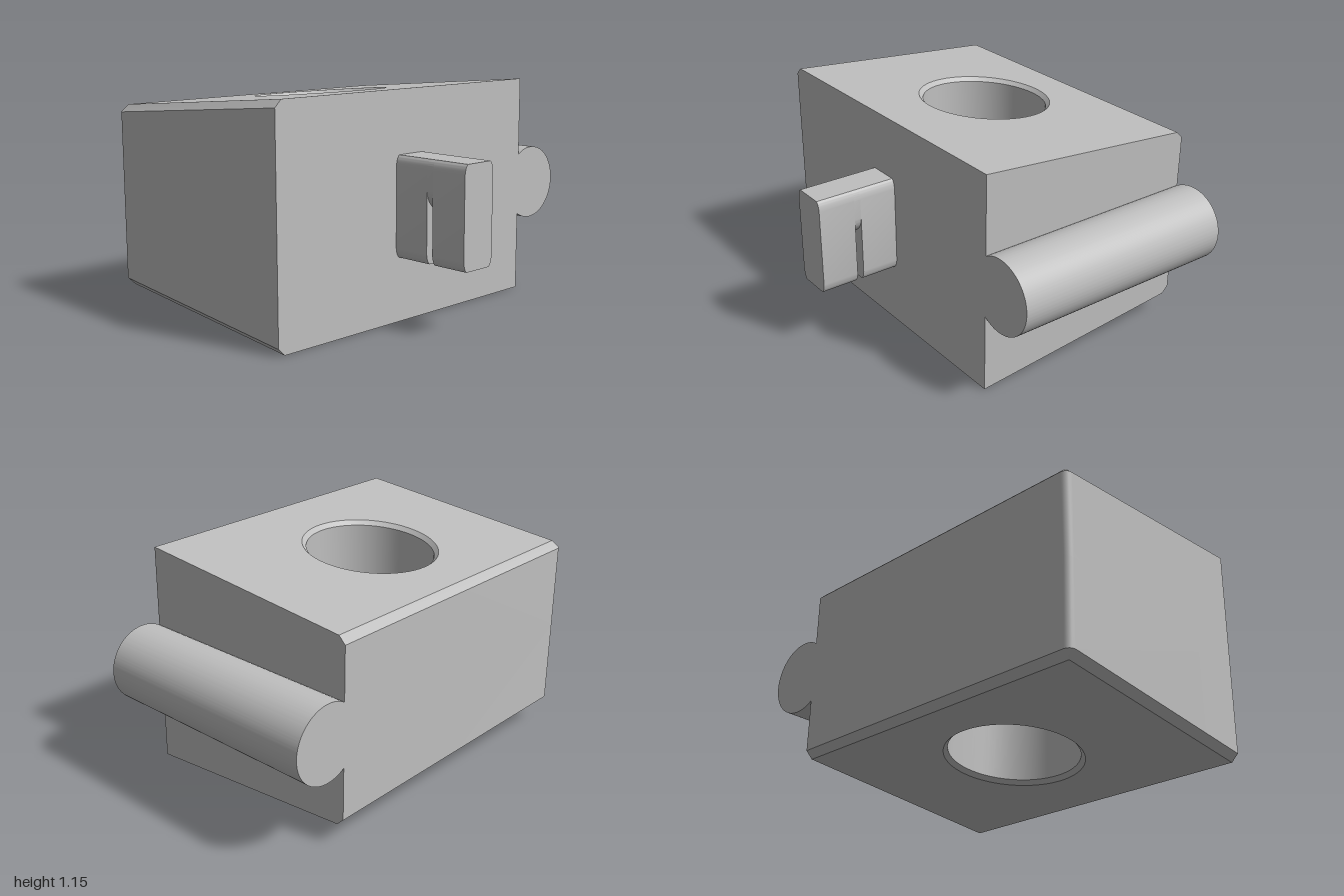
import * as THREE from 'three';
import { toCreasedNormals } from 'three/addons/utils/BufferGeometryUtils.js';

const H = 1.146; // block height at the front; the block mirrors about H / 2
const grey = new THREE.MeshStandardMaterial({ color: 0xbfbfbf });
grey.name = 'plain grey';

const slopeY = (z) => H - 0.088 * (0.4 - z);
const point = (x, z, drop = 0) => new THREE.Vector3(x, slopeY(z) - drop, z);
const atMiddle = (ring) => ring.map((p) => new THREE.Vector3(p.x, H / 2, p.z));

// Tapered block with a chamfered bore, built as an upper half and mirrored down
function blockGeometry() {
  const pos = [];
  const tri = (a, b, c) => {
    const area = b.clone().sub(a).cross(c.clone().sub(a)).length();
    if (area < 1e-9) return;
    for (const p of [a, b, c]) pos.push(p.x, p.y, p.z);
    for (const p of [a, c, b]) pos.push(p.x, H - p.y, p.z);
  };
  const band = (top, low) => top.forEach((a, i) => {
    const j = (i + 1) % top.length;
    tri(a, low[i], low[j]);
    tri(a, low[j], top[j]);
  });

  // outline, counterclockwise from above: the inner ring bounds the sloped face
  const c = 0.036, x0 = -1 + c, z0 = -0.83 + c;
  const inner = [point(x0, 0.4), point(0.7, 0.4), point(0.7, z0)];
  const outer = [point(-1, 0.4), point(0.7, 0.4), point(0.7, -0.83)];
  outer.forEach((p, i) => { p.y = inner[i].y - c; });
  for (let i = 0; i <= 6; i++) {
    const t = (i / 6) * Math.PI / 2;
    const o = point(x0 - c * Math.sin(t), z0 - c * Math.cos(t));
    o.y = slopeY(z0) - c;
    inner.push(point(x0, z0));
    outer.push(o);
  }

  // bore rings, clockwise from above so that the walls face inward
  const circle = (r, drop) => Array.from({ length: 64 }, (_, i) => {
    const t = (i / 64) * Math.PI * 2;
    return point(-0.154 + r * Math.cos(t), -0.24 + r * Math.sin(t), drop);
  });
  const rim = circle(0.342, 0);
  const bore = circle(0.321, 0.021);

  const flat = (ring) => ring.map((p) => new THREE.Vector2(p.x, -p.z));
  const all = [...inner, ...rim];
  for (const [a, b, d] of THREE.ShapeUtils.triangulateShape(flat(inner), [flat(rim)])) {
    tri(all[a], all[b], all[d]);
  }
  band(inner, outer);
  band(outer, atMiddle(outer));
  band(rim, bore);
  band(bore, atMiddle(bore));

  const geo = new THREE.BufferGeometry();
  geo.setAttribute('position', new THREE.Float32BufferAttribute(pos, 3));
  return toCreasedNormals(geo, 0.5);
}

// Straight extrusion of a front profile from z0 to z1
function prism(shape, z0, z1, curveSegments) {
  const geo = new THREE.ExtrudeGeometry(shape, { depth: z1 - z0, bevelEnabled: false, curveSegments });
  geo.translate(0, 0, z0);
  return toCreasedNormals(geo, 0.5);
}

// Tab profile: soft corners, with either a full or a half-round lower end
function tabShape(roundEnd) {
  const l = -0.25, r = -0.05, b = 0.325, t = 0.83, u = 0.02, v = 0.05;
  const s = new THREE.Shape();
  if (roundEnd) {
    s.moveTo(l, 0.68);
    s.absarc((l + r) / 2, 0.68, 0.1, Math.PI, Math.PI * 2, false);
  } else {
    s.moveTo(l, b + v);
    s.quadraticCurveTo(l + 0.004, b + 0.012, l + u, b);
    s.lineTo(r - u, b);
    s.quadraticCurveTo(r - 0.004, b + 0.012, r, b + v);
  }
  s.lineTo(r, t - v);
  s.quadraticCurveTo(r - 0.004, t - 0.012, r - u, t);
  s.lineTo(l + u, t);
  s.quadraticCurveTo(l + 0.004, t - 0.012, l, t - v);
  s.closePath();
  return s;
}

export function createModel() {
  const model = new THREE.Group();
  model.name = 'slottedBlock';
  const add = (name, geo, parent = model) => {
    const mesh = new THREE.Mesh(geo, grey);
    mesh.name = name;
    parent.add(mesh);
  };

  add('taperedBlock', blockGeometry());

  // Side rod, cut off flush where it meets the block
  const rod = new THREE.Shape();
  const cut = Math.acos((0.7 - 0.805) / 0.194);
  rod.absarc(0.805, 0.575, 0.194, -cut, cut, false);
  add('sideRod', prism(rod, -0.83, 0.4, 64));

  // Front tab: two full sections either side of a slot that opens downward
  const tab = new THREE.Group();
  tab.name = 'frontTab';
  model.add(tab);
  add('tabBase', prism(tabShape(false), 0.4, 0.6, 8), tab);
  add('slotWeb', prism(tabShape(true), 0.6, 0.635, 24), tab);
  add('tabEnd', prism(tabShape(false), 0.635, 0.83, 8), tab);

  return model;
}
